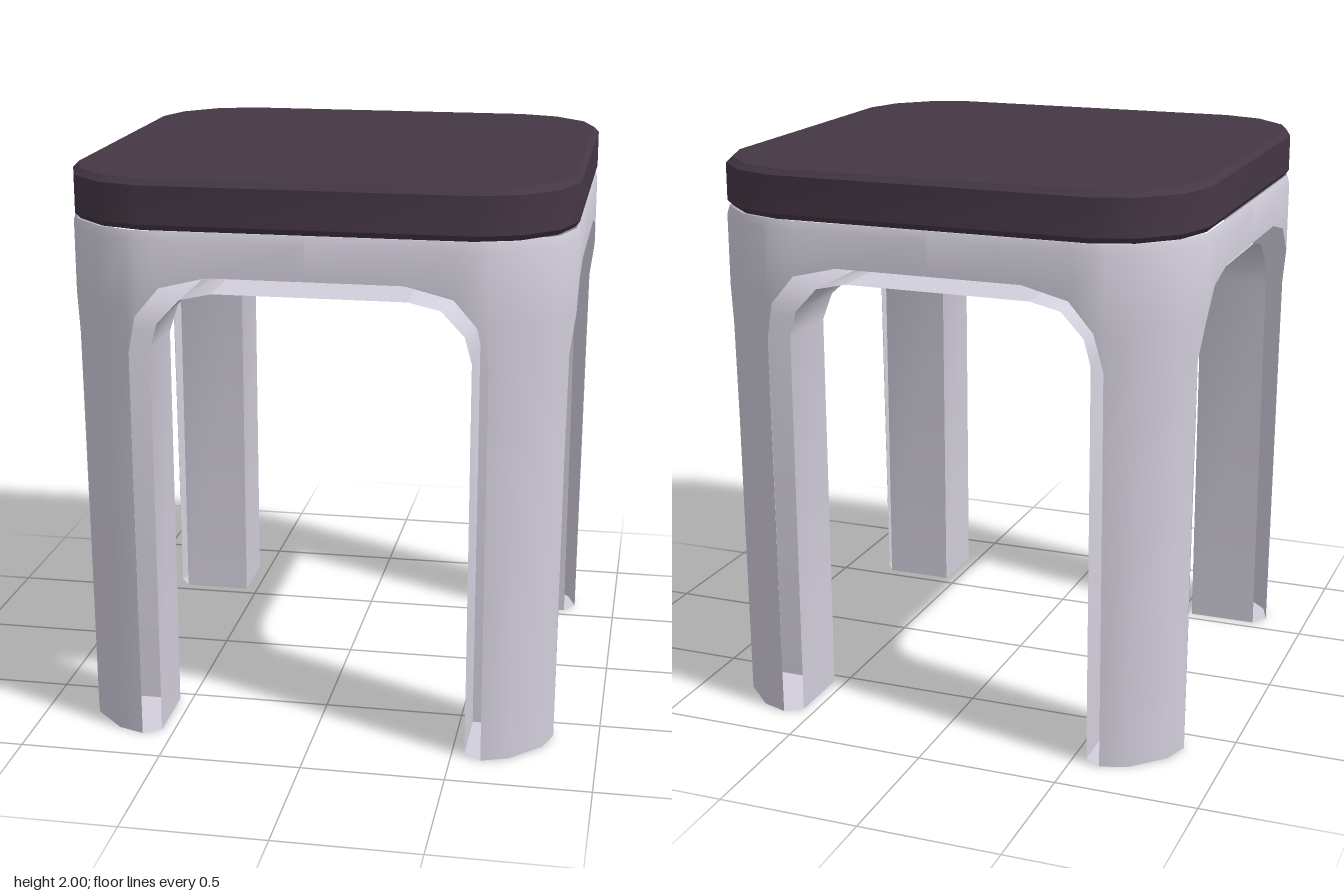
import * as THREE from 'three';
import { toCreasedNormals, mergeGeometries } from 'three/addons/utils/BufferGeometryUtils.js';

const CREASE = 0.6;

// Surface through columns of points; columns run left to right, points bottom to top
function skin(columns) {
  const pos = [];
  for (let i = 0; i + 1 < columns.length; i++) {
    const l = columns[i], r = columns[i + 1];
    for (let j = 0; j + 1 < l.length; j++) {
      pos.push(...l[j], ...r[j], ...r[j + 1], ...l[j], ...r[j + 1], ...l[j + 1]);
    }
  }
  const g = new THREE.BufferGeometry();
  g.setAttribute('position', new THREE.Float32BufferAttribute(pos, 3));
  return toCreasedNormals(g, CREASE);
}

// Four copies of a geometry turned about the vertical axis
const fourfold = (g) =>
  mergeGeometries([0, 1, 2, 3].map((k) => g.clone().rotateY((k * Math.PI) / 2)));

// Flat outline in x and z, facing down
function plate(points, y) {
  const shape = new THREE.Shape(points.map(([x, z]) => new THREE.Vector2(x, z)));
  return new THREE.ShapeGeometry(shape).rotateX(Math.PI / 2).translate(0, y, 0);
}

const HALF = 0.87;   // half width of the stool
const EDGE = 0.605;  // outer arch opening
const INNER = 0.545; // inner face of the legs
const DEPTH = 0.8;   // outer limit of the inner lining
const CEILING = 1.61;

export function createModel() {
  const frameMaterial = new THREE.MeshStandardMaterial({ color: 0xd2cedc, side: THREE.DoubleSide });
  frameMaterial.name = 'pale lavender';
  const cushionMaterial = new THREE.MeshStandardMaterial({ color: 0x453745 });
  cushionMaterial.name = 'dark plum';

  const group = new THREE.Group();
  group.name = 'stool';
  const add = (name, geometry, material) => {
    const mesh = new THREE.Mesh(geometry, material);
    mesh.name = name;
    group.add(mesh);
  };

  // Outer shell: rounded square wall, cut by an arch on every side
  const levels = [[0, 0.852], [1.05, 0.858], [1.41, 0.863], [1.55, HALF], [1.8, HALF], [1.83, 0.86]];
  const halfAt = (y) => {
    const i = Math.max(1, levels.findIndex(([ly]) => ly >= y));
    const [y0, h0] = levels[i - 1], [y1, h1] = levels[i];
    return h0 + ((h1 - h0) * (y - y0)) / (y1 - y0);
  };
  const taper = (c, y) =>
    c <= EDGE ? c : EDGE + ((c - EDGE) * (halfAt(y) - EDGE)) / (HALF - EDGE);
  // x, z and lower edge of the wall, from the middle of a side to the corner
  const half = [
    [0, HALF, 1.68], [0.33, HALF, 1.68], [0.49, HALF, 1.64], [0.575, 0.868, 1.54],
    [EDGE, 0.857, 1.41], [EDGE, 0.857, 0], [0.705, 0.822, 0],
  ];
  const quarter = [...half, ...half.map(([x, z, low]) => [z, x, low]).reverse()];
  const wall = quarter.map(([x, z, low]) =>
    levels.map(([ly]) => {
      const y = Math.max(low, ly);
      return [taper(x, y), y, taper(z, y)];
    }));
  add('outerShell', fourfold(skin(wall)), frameMaterial);

  // Inner lining: leg faces that curve up and meet on the diagonal
  const arch = [[INNER, 0], [INNER, 1.41], [0.52, 1.5], [0.44, 1.585], [0.33, CEILING]];
  const side = skin([arch.map(([x, y]) => [x, y, x]), arch.map(([x, y]) => [x, y, DEPTH])]);
  const back = skin([arch.map(([x, y]) => [DEPTH, y, x]), arch.map(([x, y]) => [x, y, x])]);
  add('innerLining', fourfold(mergeGeometries([side, back])), frameMaterial);

  // Cross-shaped ceiling under the seat
  const c = 0.33, d = DEPTH;
  add('ceiling', plate([
    [c, c], [c, d], [-c, d], [-c, c], [-d, c], [-d, -c],
    [-c, -c], [-c, -d], [c, -d], [c, -c], [d, -c], [d, c],
  ], CEILING), frameMaterial);

  // Feet closing the bottom of the legs
  const foot = quarter.filter((p) => p[2] === 0).map(([x, z]) => [taper(x, 0), taper(z, 0)]);
  add('feet', fourfold(plate(
    [...foot, [DEPTH, INNER], [INNER, INNER], [INNER, DEPTH]], 0)), frameMaterial);

  // Cushion: rounded square with bevelled rims
  const corner = [[0.56, HALF], [0.705, 0.822], [0.822, 0.705], [HALF, 0.56]];
  const rims = [[1.83, 0], [1.83, 0.853], [1.85, 0.868], [1.98, 0.868], [2, 0.85], [2, 0]];
  const cushion = [[-0.56, HALF], ...corner].map(([x, z]) =>
    rims.map(([y, h]) => [(x * h) / HALF, y, (z * h) / HALF]));
  const outline = [];
  for (let k = 0; k < 4; k++) {
    const turn = ([x, y, z]) => [[x, y, z], [z, y, -x], [-x, y, -z], [-z, y, x]][k];
    outline.push(...cushion.slice(1).map((column) => column.map(turn)));
  }
  outline.push(outline[0]);
  add('cushion', skin(outline), cushionMaterial);

  return group;
}
